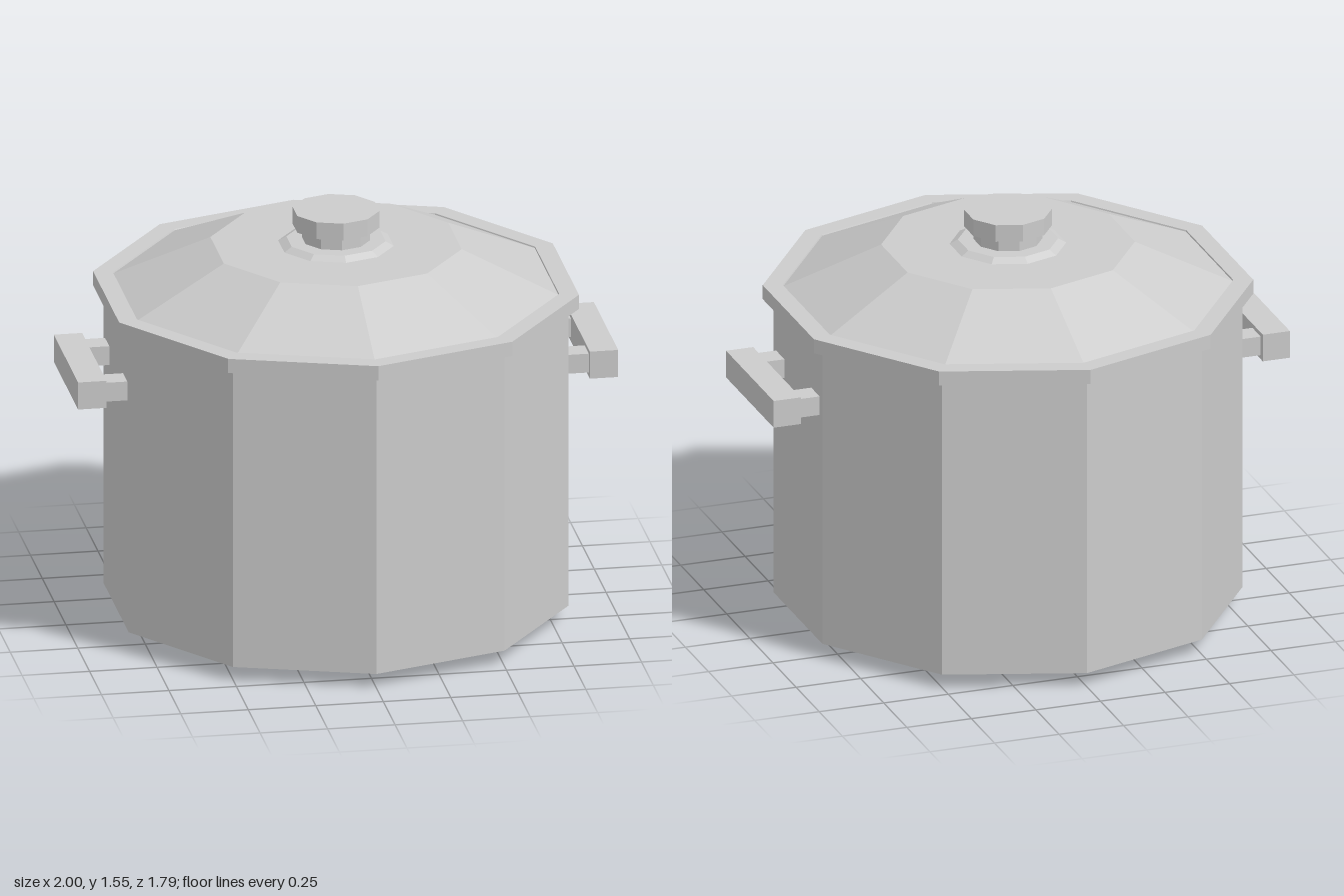
import * as THREE from 'three';

const material = new THREE.MeshStandardMaterial({ color: 0xcccccc, flatShading: true });
const SIDES = 10;

// Ten-sided turned part; profile is [radius, height] from bottom to top
function turned(name, profile) {
  const points = profile.map(([r, y]) => new THREE.Vector2(r, y));
  const mesh = new THREE.Mesh(new THREE.LatheGeometry(points, SIDES), material);
  mesh.name = name;
  return mesh;
}

function box(name, size, position) {
  const mesh = new THREE.Mesh(new THREE.BoxGeometry(...size), material);
  mesh.name = name;
  mesh.position.set(...position);
  return mesh;
}

export function createModel() {
  const pot = new THREE.Group();
  pot.name = 'cookingPot';

  // Body with bevelled base
  pot.add(turned('body', [[0, 0], [0.667, 0], [0.856, 0.055], [0.856, 1.215]]));

  // Lid: overhanging rim, sloping sides and flat top
  pot.add(turned('lid', [
    [0.8, 1.21], [0.895, 1.21], [0.895, 1.265], [0.822, 1.265],
    [0.82, 1.26], [0.463, 1.42], [0, 1.42],
  ]));

  // Knob: flange, stem and cap
  const knob = new THREE.Group();
  knob.name = 'knob';
  knob.add(
    turned('knobFlange', [[0.213, 1.42], [0.183, 1.437], [0, 1.437]]),
    turned('knobStem', [[0.125, 1.43], [0.125, 1.49]]),
    turned('knobCap', [[0, 1.488], [0.16, 1.488], [0.16, 1.553], [0, 1.553]]),
  );
  pot.add(knob);

  // Side handles: a bar on two posts
  for (const side of [1, -1]) {
    const handle = new THREE.Group();
    handle.name = side > 0 ? 'leftHandle' : 'rightHandle';
    handle.add(box('handleBar', [0.105, 0.105, 0.515], [side * 0.9475, 0.982, 0]));
    for (const z of [0.19, -0.19]) {
      handle.add(box('handlePost', [0.1, 0.073, 0.09], [side * 0.85, 0.982, z]));
    }
    pot.add(handle);
  }
  return pot;
}
